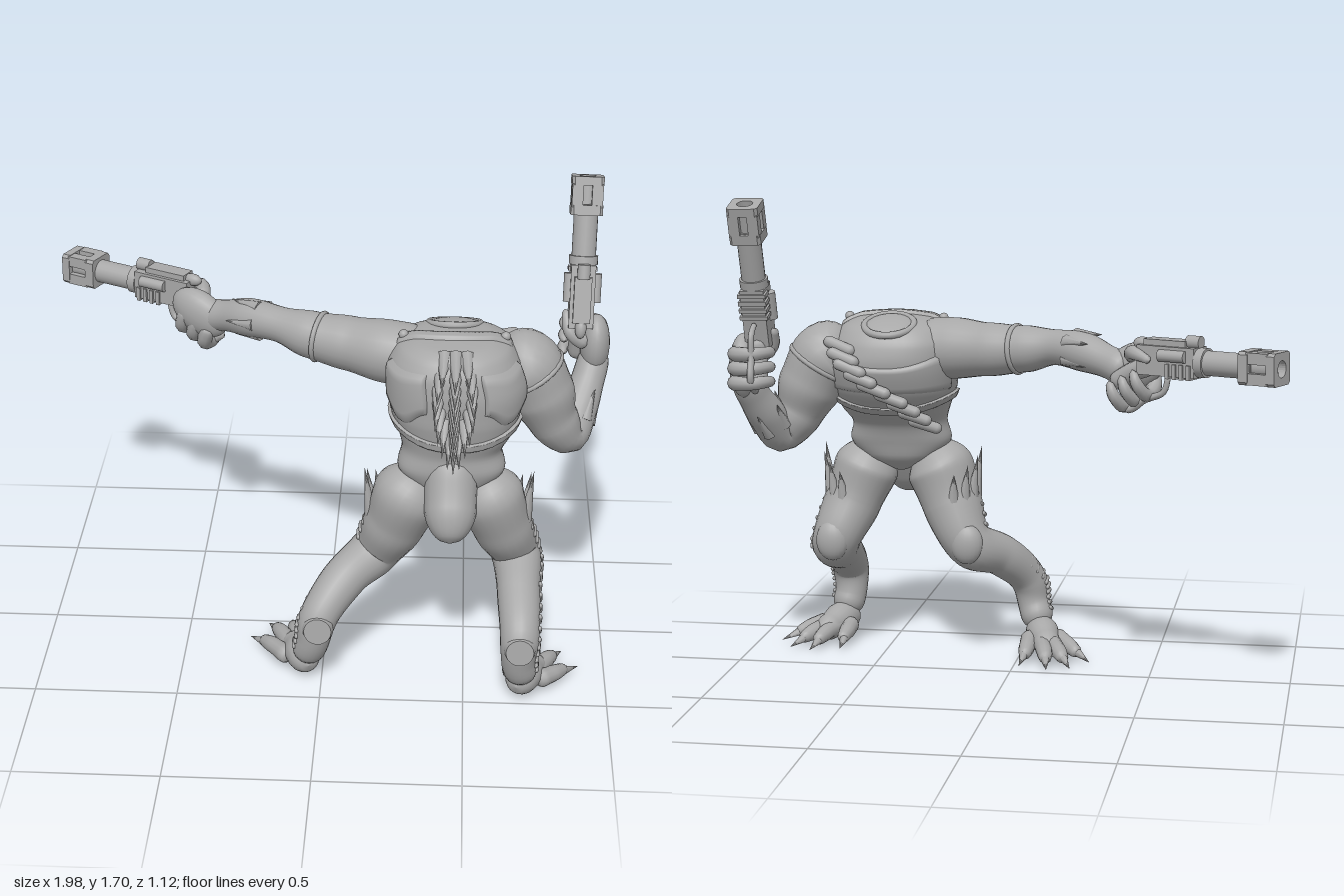
import * as THREE from 'three';
import { mergeVertices } from 'three/addons/utils/BufferGeometryUtils.js';

const V = (x, y, z) => new THREE.Vector3(x, y, z);
const stone = new THREE.MeshStandardMaterial({ color: 0xa8a8a8 });
stone.name = 'stone grey';

function add(parent, name, geometry, pos) {
  const m = new THREE.Mesh(geometry, stone);
  m.name = name;
  if (pos) m.position.copy(pos);
  parent.add(m);
  return m;
}

function smooth(geometry) {
  geometry.deleteAttribute('uv');
  geometry.deleteAttribute('normal');
  const g = mergeVertices(geometry, 1e-5);
  g.computeVertexNormals();
  return g;
}

// Path with a radius at each point: [x, y, z, r]
function path(pts) {
  const curve = new THREE.CatmullRomCurve3(pts.map(p => V(p[0], p[1], p[2])));
  const at = t => {
    const f = Math.min(t * (pts.length - 1), pts.length - 1.0001), i = Math.floor(f);
    const k = THREE.MathUtils.smoothstep(f - i, 0, 1);
    return { p: curve.getPoint(t), d: curve.getTangent(t), r: pts[i][3] * (1 - k) + pts[i + 1][3] * k };
  };
  return { curve, at };
}

// Round-ended tube of changing radius
function limb(parent, name, pts, steps = 36, sides = 18) {
  const { curve, at } = path(pts), len = curve.getLength();
  const g = new THREE.TubeGeometry(curve, steps, 1, sides);
  const a = g.attributes.position, v = V();
  for (let i = 0; i <= steps; i++) {
    const u = i / steps, p = curve.getPointAt(u), r = at(curve.getUtoTmapping(u)).r;
    const s = Math.min(1, Math.min(u, 1 - u) * len / r);
    const rr = Math.max(0.0004, r * Math.sqrt(1 - (1 - s) ** 2));
    for (let j = 0; j <= sides; j++) {
      const k = i * (sides + 1) + j;
      v.fromBufferAttribute(a, k).sub(p).multiplyScalar(rr).add(p);
      a.setXYZ(k, v.x, v.y, v.z);
    }
  }
  return add(parent, name, smooth(g));
}

function along(mesh, dir) {
  mesh.quaternion.setFromUnitVectors(V(0, 1, 0), dir.clone().normalize());
  return mesh;
}
function spike(parent, name, a, b, r) {
  const d = b.clone().sub(a);
  along(add(parent, name, new THREE.ConeGeometry(r, d.length(), 8), a.clone().add(b).multiplyScalar(0.5)), d);
}
function ball(parent, name, pos, sx, sy, sz) {
  const m = add(parent, name, new THREE.SphereGeometry(1, 20, 14), pos);
  m.scale.set(sx, sy, sz);
  return m;
}

// Torso cross-sections: y, centre x, centre z, half width, half depth
const RINGS = [
  [0.68, 0.44, 0.24, 0.02, 0.02], [0.73, 0.44, 0.24, 0.13, 0.09], [0.8, 0.44, 0.24, 0.185, 0.115],
  [0.86, 0.44, 0.228, 0.172, 0.128], [0.92, 0.45, 0.205, 0.195, 0.168], [1.0, 0.45, 0.18, 0.225, 0.21],
  [1.1, 0.45, 0.165, 0.235, 0.23], [1.17, 0.44, 0.165, 0.225, 0.222], [1.225, 0.44, 0.17, 0.19, 0.19],
  [1.252, 0.44, 0.18, 0.13, 0.135], [1.262, 0.44, 0.18, 0.005, 0.005]];
const axis = new THREE.CatmullRomCurve3(RINGS.map(r => V(r[1], r[0], r[2])));
const radii = new THREE.CatmullRomCurve3(RINGS.map(r => V(r[3], 0, r[4])));
function torsoAt(t, a, off = 0) {
  const p = axis.getPoint(t), r = radii.getPoint(t), c = Math.cos(a), s = Math.sin(a);
  const e = v => Math.sign(v) * Math.abs(v) ** 0.85;
  return V(p.x + (r.x + off) * e(c), p.y, p.z + (r.z + off) * e(s));
}
function bisect(lo, hi, below) {
  for (let i = 0; i < 24; i++) {
    const m = (lo + hi) / 2;
    if (below(m)) lo = m; else hi = m;
  }
  return lo;
}
const onTorso = (y, deg, off) =>
  torsoAt(bisect(0, 1, t => axis.getPoint(t).y < y), THREE.MathUtils.degToRad(deg), off);
// Point on top of the torso above x, z
function onTop(x, z, off) {
  const t = bisect(0.6, 1, k => {
    const p = axis.getPoint(k), r = radii.getPoint(k);
    return ((x - p.x) / r.x) ** 2 + ((z - p.z) / r.z) ** 2 < 1;
  });
  return V(x, axis.getPoint(t).y + off, z);
}

function grid(nu, nv, f) {
  const pos = [], idx = [];
  for (let i = 0; i <= nu; i++) for (let j = 0; j <= nv; j++) {
    pos.push(...f(i / nu, j / nv, i === 0 || i === nu || j === 0 || j === nv).toArray());
    if (i < nu && j < nv) {
      const a = i * (nv + 1) + j, c = a + nv + 1;
      idx.push(a, a + 1, c, c, a + 1, c + 1);
    }
  }
  const g = new THREE.BufferGeometry();
  g.setAttribute('position', new THREE.Float32BufferAttribute(pos, 3));
  g.setIndex(idx);
  return smooth(g);
}
// Raised plate on the torso between two angles; lo and hi give its edges
function plate(parent, name, a0, a1, lo, hi, off) {
  add(parent, name, grid(32, 8, (u, v, edge) =>
    onTorso(lo(u) + (hi(u) - lo(u)) * v, a0 + (a1 - a0) * u, edge ? -0.012 : off)));
}

function torso(g) {
  add(g, 'torso', grid(48, 48, (u, v) => torsoAt(v, u * Math.PI * 2)));
  const flat = y => () => y;
  for (const [a0, a1] of [[14, 70], [110, 166]])
    plate(g, 'backPlate', a0, a1, u => 1.01 + 0.03 * Math.cos(u * 6.28), flat(1.2), 0.012);
  plate(g, 'vestHem', 0, 360, u => 0.93 + 0.025 * Math.cos(u * 12.56), u => 0.965 + 0.025 * Math.cos(u * 12.56), 0.012);
  plate(g, 'chestPlate', -165, -15, flat(0.99), u => 1.13 + 0.03 * Math.cos(u * 6.28), 0.01);
  // Yoke strap across the top of the shoulders
  const strapZ = u => 0.16 + 0.05 * Math.sin(u * Math.PI);
  add(g, 'shoulderStrap', grid(32, 6, (u, v, edge) =>
    onTop(0.235 + 0.41 * u, strapZ(u) + (v - 0.5) * 0.06, edge ? -0.012 : 0.012)));
  for (const u of [0.08, 0.92]) ball(g, 'strapBolt', onTop(0.235 + 0.41 * u, strapZ(u), 0.014), 0.017, 0.017, 0.017);
  // Capped neck opening, tilted forward
  const neck = new THREE.Group();
  neck.name = 'neck';
  neck.position.set(0.44, 1.236, 0.04);
  neck.rotation.x = -0.32;
  g.add(neck);
  add(neck, 'neckCollar', new THREE.TorusGeometry(0.088, 0.013, 10, 32)).rotation.x = Math.PI / 2;
  ball(neck, 'neckStump', V(0, 0, 0), 0.085, 0.02, 0.085);
  // Bullet belt across the chest
  for (let i = 0; i < 9; i++) {
    const k = i / 8, p = onTorso(1.165 - 0.29 * k, -50 - 72 * k, 0.016 + 0.02 * k);
    along(add(g, 'bullet', new THREE.CapsuleGeometry(0.021, 0.085, 4, 12), p), V(1, 0.35, 0.3 - 0.6 * k));
  }
  // Mane of quills down the back
  for (let row = 0; row < 7; row++) for (let c = -1; c <= 1; c++) {
    const k = row / 6, y = 1.235 - 0.22 * k, w = 0.045 * Math.sin((k * 0.8 + 0.2) * Math.PI) + 0.01;
    const a = onTorso(y, 90 - c * 8, -0.04);
    a.x = 0.445 + c * w;
    const l = (c ? 0.15 : 0.195) * (1 - 0.2 * k);
    spike(g, 'quill', a, a.clone().add(V(c * 0.01, -0.055 - 0.07 * k, l)), 0.027);
  }
  limb(g, 'tailStump', [[0.44, 0.88, 0.26, 0.08], [0.44, 0.77, 0.305, 0.092], [0.44, 0.68, 0.355, 0.09], [0.44, 0.585, 0.425, 0.066]]);
}

// Leg: limb path, outward side, foot start, foot heading
function leg(root, name, s, pts, heel, heading, reach) {
  const g = new THREE.Group();
  g.name = name;
  root.add(g);
  limb(g, 'legSkin', pts, 64, 22);
  const line = path(pts), last = pts.length - 1, at = i => line.at(i / last);
  // Stitched seam on the outside
  for (let i = 0; i < 19; i++) {
    const { p, d, r } = at(2 + i * (last - 2.8) / 18);
    const m = add(g, 'stitch', new THREE.CapsuleGeometry(0.009, 0.035, 3, 8), p.clone().add(V(s * r * 0.98, 0, 0)));
    along(m, V(0, -d.z, d.y));
  }
  // Knee guard with upward thorns
  const knee = at(3), thigh = at(1.8);
  ball(g, 'kneePad', knee.p.clone().add(V(0, 0.01, -0.06)), 0.06, 0.075, 0.042);
  for (let i = 0; i < 4; i++) {
    const a = -0.1 + i * 0.45, o = V(s * Math.cos(a), 0, -Math.sin(a));
    const b = thigh.p.clone().addScaledVector(o, thigh.r * 0.85);
    spike(g, 'kneeThorn', b, b.clone().addScaledVector(o, 0.025).add(V(0, 0.19 - 0.03 * i, 0)), 0.024);
  }
  // Round guard behind the hock
  const hock = at(5);
  const disc = add(g, 'hockGuard', new THREE.CylinderGeometry(0.048, 0.055, 0.025, 20), hock.p.clone().add(V(0, -0.02, hock.r * 0.9)));
  along(disc, V(0, 0.1, 1));
  // Foot with four clawed toes
  const dir = V(Math.sin(heading), 0, -Math.cos(heading)), side = V(Math.cos(heading), 0, Math.sin(heading));
  const pt = (f, w, y, r) => { const p = heel.clone().addScaledVector(dir, f).addScaledVector(side, w); return [p.x, y, p.z, r]; };
  limb(g, 'foot', [pt(-0.05, 0, 0.06, 0.05), pt(0.04, 0, 0.062, 0.06), pt(0.12, 0, 0.046, 0.05), pt(0.19, 0, 0.032, 0.03)]);
  for (let i = 0; i < 4; i++) {
    const w = (i - 1.5) / 1.5, l = reach - 0.08 * w * w;
    limb(g, 'toe', [pt(0.04, w * 0.045, 0.05, 0.035), pt(l - 0.14, w * 0.075, 0.04, 0.03), pt(l - 0.06, w * 0.1, 0.025, 0.022)], 16, 12);
    const a = pt(l - 0.1, w * 0.09, 0.032, 0), b = pt(l, w * 0.13, 0.006, 0);
    spike(g, 'toeClaw', V(a[0], a[1], a[2]), V(b[0], b[1], b[2]), 0.022);
  }
}

// Pistol held in a hand; barrel along local y, sights toward local z
function pistol(root, name, origin, dir, top, s) {
  const g = new THREE.Group();
  g.name = name;
  const y = dir.normalize(), x = y.clone().cross(top).normalize(), z = x.clone().cross(y);
  g.quaternion.setFromRotationMatrix(new THREE.Matrix4().makeBasis(x, y, z));
  g.position.copy(origin);
  root.add(g);
  const cyl = (n, r, h, cx, cy, cz) => add(g, n, new THREE.CylinderGeometry(r, r, h, 20), V(cx, cy, cz));
  const box = (n, w, h, d, cx, cy, cz) => add(g, n, new THREE.BoxGeometry(w, h, d), V(cx, cy, cz));
  cyl('barrel', 0.042, 0.28, 0, 0.27, 0);
  cyl('barrelCollar', 0.05, 0.03, 0, 0.215, 0);
  box('housing', 0.085, 0.22, 0.1, 0, 0.09, 0);
  box('slide', 0.06, 0.16, 0.03, 0, 0.08, 0.055);
  for (let i = 0; i < 4; i++) box('coolingRib', 0.1, 0.014, 0.05, 0, 0.1 + i * 0.027, -0.032);
  cyl('sideCylinder', 0.02, 0.1, 0.045, 0.12, 0.02);
  cyl('sideCylinder', 0.02, 0.1, -0.045, 0.12, 0.02);
  cyl('sightKnob', 0.022, 0.05, 0, 0.18, 0.066);
  ball(g, 'hammer', V(0, -0.02, 0.05), 0.02, 0.035, 0.022);
  // Vented muzzle: two hollow blocks joined by flush corner posts
  const sq = new THREE.Shape([[-0.055, -0.045], [-0.045, -0.055], [0.045, -0.055], [0.055, -0.045], [0.055, 0.045],
    [0.045, 0.055], [-0.045, 0.055], [-0.055, 0.045]].map(p => new THREE.Vector2(...p)));
  sq.holes.push(new THREE.Path().absarc(0, 0, 0.028, 0, Math.PI * 2, true));
  for (const [at, depth] of [[0.372, 0.035], [0.475, 0.03]])
    add(g, 'muzzleBlock', new THREE.ExtrudeGeometry(sq, { depth, bevelEnabled: false }), V(0, at + depth, 0)).rotation.x = Math.PI / 2;
  for (const i of [-1, 1]) for (const j of [-1, 1]) box('muzzlePost', 0.038, 0.08, 0.038, i * 0.034, 0.44, j * 0.034);
  cyl('muzzleCore', 0.036, 0.09, 0, 0.43, 0);
  // Grip, guard and the hand around them
  limb(g, 'grip', [[0, 0.02, -0.02, 0.035], [0, -0.06, -0.05, 0.033], [0, -0.14, -0.1, 0.035]], 16, 12);
  limb(g, 'triggerGuard', [[0, 0.08, -0.05, 0.01], [0, 0.06, -0.11, 0.011], [0, -0.01, -0.14, 0.012], [0, -0.08, -0.18, 0.013], [0, -0.15, -0.13, 0.013]], 24, 8);
  const palm = ball(g, 'palm', V(s * 0.058, -0.085, -0.04), 0.052, 0.115, 0.08);
  palm.rotation.x = 0.4;
  for (let i = 0; i < 3; i++) {
    const fy = -0.015 - i * 0.046, fz = -0.065 - i * 0.022;
    limb(g, 'finger', [[s * 0.08, fy - 0.03, fz + 0.04, 0.028], [s * 0.066, fy, fz - 0.035, 0.027],
      [0, fy + 0.01, fz - 0.06, 0.024], [-s * 0.047, fy, fz - 0.02, 0.021], [-s * 0.047, fy - 0.02, fz + 0.03, 0.013]], 20, 10);
  }
  limb(g, 'thumb', [[s * 0.03, -0.08, 0, 0.03], [-s * 0.03, -0.04, 0.02, 0.025], [-s * 0.055, 0.04, 0, 0.014]], 16, 10);
}

function arm(root, name, pts, cuffAt) {
  const g = new THREE.Group();
  g.name = name;
  root.add(g);
  limb(g, 'armSkin', pts, 56, 22);
  const line = path(pts), c = line.at(cuffAt);
  const cuff = add(g, 'armBand', new THREE.TorusGeometry(c.r * 0.97, 0.01, 8, 28), c.p);
  cuff.quaternion.setFromUnitVectors(V(0, 0, 1), c.d);
  // Ragged fins on the forearm
  const f = line.at(0.66);
  for (let i = 0; i < 5; i++) {
    const o = V(0, 1, 0).cross(f.d).normalize().applyAxisAngle(f.d, i * 1.257);
    const b = f.p.clone().addScaledVector(o, f.r * 0.75);
    spike(g, 'forearmFin', b, b.clone().addScaledVector(f.d, 0.11).addScaledVector(o, 0.02), 0.026);
  }
}

export function createModel() {
  const root = new THREE.Group();
  root.name = 'headlessGunner';
  torso(root);
  leg(root, 'leftLeg', 1, [[0.53, 0.78, 0.25, 0.1], [0.57, 0.69, 0.25, 0.12], [0.62, 0.56, 0.225, 0.105], [0.675, 0.42, 0.175, 0.088],
    [0.685, 0.345, 0.33, 0.075], [0.69, 0.25, 0.475, 0.068], [0.69, 0.15, 0.475, 0.06], [0.71, 0.07, 0.44, 0.06]], V(0.7, 0, 0.45), 0.36, 0.33);
  leg(root, 'rightLeg', -1, [[0.35, 0.78, 0.25, 0.1], [0.3, 0.69, 0.25, 0.125], [0.25, 0.56, 0.225, 0.11], [0.18, 0.42, 0.19, 0.088],
    [0.08, 0.36, 0.28, 0.077], [-0.01, 0.25, 0.375, 0.068], [-0.03, 0.16, 0.38, 0.06], [-0.06, 0.07, 0.34, 0.06]], V(-0.06, 0, 0.35), -0.32, 0.36);
  arm(root, 'rightArm', [[0.38, 1.14, 0.13, 0.11], [0.22, 1.15, 0.1, 0.11], [0.08, 1.155, 0.05, 0.095], [-0.05, 1.165, 0.01, 0.083],
    [-0.17, 1.18, -0.04, 0.062], [-0.27, 1.175, -0.1, 0.068], [-0.37, 1.15, -0.17, 0.056], [-0.45, 1.125, -0.225, 0.06]], 0.4);
  arm(root, 'leftArm', [[0.58, 1.14, 0.11, 0.11], [0.67, 1.12, 0.1, 0.13], [0.74, 1.01, 0.095, 0.118], [0.79, 0.9, 0.09, 0.088],
    [0.845, 0.83, 0.065, 0.066], [0.88, 0.91, -0.005, 0.068], [0.915, 1.0, -0.07, 0.058], [0.94, 1.09, -0.12, 0.052]], 0.2);
  pistol(root, 'rightPistol', V(-0.515, 1.185, -0.295), V(-0.45, 0.005, -0.215), V(0, 1, 0), -1);
  pistol(root, 'leftPistol', V(0.875, 1.195, -0.09), V(0.01, 0.5, -0.145), V(0, 0.27, 0.96), 1);
  return root;
}
